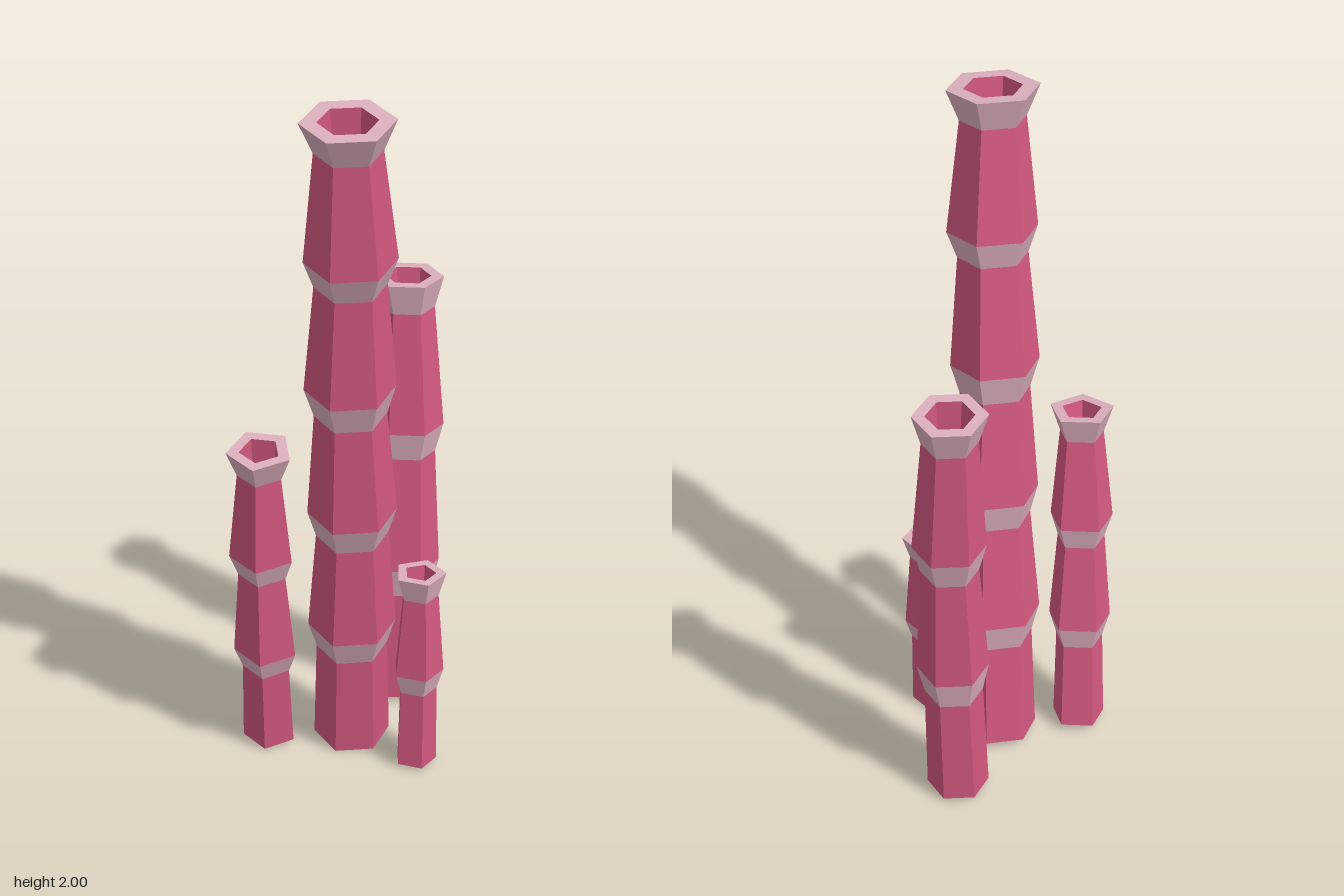
import * as THREE from 'three';

const flesh = new THREE.MeshStandardMaterial({ color: 0xd2587f, flatShading: true });
flesh.name = 'pink';
const pale = new THREE.MeshStandardMaterial({ color: 0xdcafbd, flatShading: true });
pale.name = 'pale pink';

// path: [y, x, z] centres from base to rim; rings: [y, radius] from base to rim
const tubes = [
  {
    name: 'tallTube', sides: 6, start: -91, inner: 0.078,
    path: [[0.012, -0.005, -0.037], [0.41, -0.03, 0.003], [0.8, -0.056, 0.045], [1.2, -0.086, 0.08], [1.59, -0.111, 0.122], [1.985, -0.14, 0.154]],
    rings: [[0.012, 0.108], [0.33, 0.1], [0.41, 0.123], [0.72, 0.1], [0.8, 0.123], [1.115, 0.098], [1.2, 0.123], [1.515, 0.096], [1.59, 0.123], [1.9, 0.089], [1.985, 0.124]],
  },
  {
    name: 'rightTube', sides: 6, start: -83, inner: 0.065,
    path: [[0.014, 0.236, -0.145], [0.45, 0.249, -0.142], [0.885, 0.267, -0.155], [1.33, 0.279, -0.18]],
    rings: [[0.014, 0.087], [0.36, 0.081], [0.45, 0.1], [0.8, 0.079], [0.885, 0.1], [1.24, 0.075], [1.33, 0.1]],
  },
  {
    name: 'leftTube', sides: 5, start: -82, inner: 0.057,
    path: [[0.014, -0.21, -0.154], [0.34, -0.24, -0.115], [0.67, -0.267, -0.083], [1.015, -0.291, -0.047]],
    rings: [[0.014, 0.077], [0.275, 0.07], [0.34, 0.092], [0.605, 0.07], [0.67, 0.092], [0.94, 0.064], [1.015, 0.092]],
  },
  {
    name: 'smallTube', sides: 5, start: -110, inner: 0.045,
    path: [[0.01, 0.066, 0.181], [0.31, 0.071, 0.181], [0.62, 0.079, 0.177]],
    rings: [[0.01, 0.06], [0.25, 0.056], [0.31, 0.073], [0.55, 0.053], [0.62, 0.073]],
  },
];

// centre of the tube at height y
function centreAt(path, y) {
  let i = 0;
  while (i < path.length - 2 && y > path[i + 1][0]) i++;
  const [a, b] = [path[i], path[i + 1]];
  const t = (y - a[0]) / (b[0] - a[0]);
  return [a[1] + (b[1] - a[1]) * t, a[2] + (b[2] - a[2]) * t];
}

function facetMesh(name, positions, material) {
  const geometry = new THREE.BufferGeometry();
  geometry.setAttribute('position', new THREE.Float32BufferAttribute(positions, 3));
  geometry.computeVertexNormals();
  const mesh = new THREE.Mesh(geometry, material);
  mesh.name = name;
  return mesh;
}

function makeTube({ name, sides, start, inner, path, rings }) {
  const first = path[0], last = path[path.length - 1];
  const rise = last[0] - first[0];
  const slopeX = (last[1] - first[1]) / rise, slopeZ = (last[2] - first[2]) / rise;

  // polygon ring, tilted square to the leaning axis
  const ring = (y, r) => {
    const [cx, cz] = centreAt(path, y);
    return Array.from({ length: sides }, (_, k) => {
      const a = THREE.MathUtils.degToRad(start + (k * 360) / sides);
      const dx = Math.cos(a) * r, dz = Math.sin(a) * r;
      return [cx + dx, y - slopeX * dx - slopeZ * dz, cz + dz];
    });
  };
  const strip = (out, low, high) => {
    for (let k = 0; k < sides; k++) {
      const n = (k + 1) % sides;
      out.push(...low[k], ...high[k], ...high[n], ...low[k], ...high[n], ...low[n]);
    }
  };
  const cap = (out, loop, up) => {
    for (let k = 1; k < sides - 1; k++) {
      out.push(...loop[0], ...(up ? loop[k + 1] : loop[k]), ...(up ? loop[k] : loop[k + 1]));
    }
  };

  const stalk = [], bands = [], hollow = [];
  const loops = rings.map(([y, r]) => ring(y, r));
  // tapering segments alternate with flaring bands
  for (let i = 0; i < loops.length - 1; i++) strip(i % 2 ? bands : stalk, loops[i], loops[i + 1]);
  cap(stalk, loops[0], false);

  // flat lip, then the hollow mouth and its floor
  const top = last[0];
  const mouth = ring(top, inner), floor = ring(top - inner * 1.6, inner * 0.9);
  strip(bands, loops[loops.length - 1], mouth);
  strip(hollow, mouth, floor);
  cap(hollow, floor, true);

  const group = new THREE.Group();
  group.name = name;
  group.add(facetMesh('stalk', stalk, flesh), facetMesh('bandsAndLip', bands, pale), facetMesh('mouth', hollow, flesh));
  return group;
}

export function createModel() {
  const model = new THREE.Group();
  model.name = 'tubeCoral';
  for (const tube of tubes) model.add(makeTube(tube));
  return model;
}
